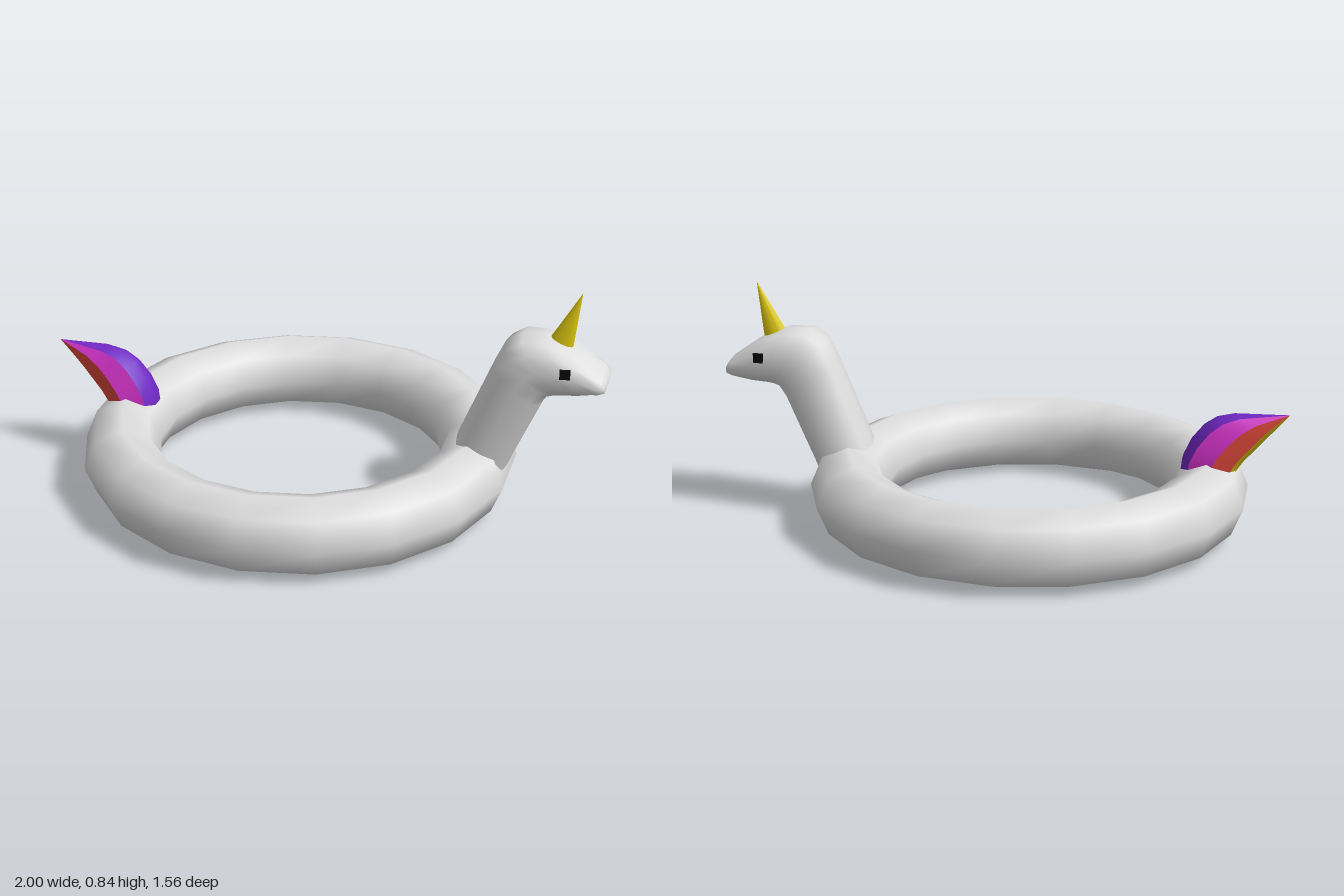
import * as THREE from 'three';

const mat = (name, color, side = THREE.FrontSide) => {
  const m = new THREE.MeshStandardMaterial({ color, side });
  m.name = name;
  return m;
};

// Loft a profile of (u, v) points through sections [ax, ay, bx, by, halfWidth];
// u runs from b (-1) to a (+1), v runs across in z.
function loft(sections, profile, closed) {
  const n = profile.length, pos = [], index = [];
  for (const [ax, ay, bx, by, w] of sections) {
    for (const [u, v] of profile) {
      pos.push((ax + bx + u * (ax - bx)) / 2, (ay + by + u * (ay - by)) / 2, v * w);
    }
  }
  for (let i = 0; i < sections.length - 1; i++) {
    for (let j = 0; j < (closed ? n : n - 1); j++) {
      const k = (j + 1) % n, a = i * n + j, b = i * n + k;
      index.push(a, b, b + n, a, b + n, a + n);
    }
  }
  const g = new THREE.BufferGeometry();
  g.setAttribute('position', new THREE.Float32BufferAttribute(pos, 3));
  g.setIndex(index);
  g.computeVertexNormals();
  return g;
}

export function createModel() {
  const group = new THREE.Group();
  const white = mat('white vinyl', 0xdedede);
  const yellow = mat('yellow', 0xe2cc10);
  const red = mat('coral red', 0xe0483c);
  const magenta = mat('magenta', 0xd232c8);
  const purple = mat('purple', 0x7028c4);
  const black = mat('black', 0x080808);

  const add = (name, geo, material, parent = group) => {
    const m = new THREE.Mesh(geo, material);
    m.name = name;
    parent.add(m);
    return m;
  };

  // Inflatable ring
  const ring = new THREE.TorusGeometry(0.643, 0.137, 8, 18);
  ring.rotateZ(Math.PI / 18).rotateX(Math.PI / 2).translate(-0.09, 0.137, 0);
  add('ring', ring, white);

  // Neck and head: rounded-box sections from the ring up and forward to the snout
  const round = [];
  for (let i = 0; i < 12; i++) {
    const t = (i / 12) * Math.PI * 2;
    const p = (x) => Math.sign(x) * Math.pow(Math.abs(x), 0.72);
    round.push([p(Math.cos(t)), p(Math.sin(t))]);
  }
  add('neckAndHead', loft([
    [0.46, 0.14, 0.655, 0.13, 0.122],
    [0.49, 0.27, 0.685, 0.205, 0.125],
    [0.61, 0.565, 0.785, 0.435, 0.125],
    [0.645, 0.64, 0.81, 0.472, 0.125],
    [0.70, 0.676, 0.83, 0.477, 0.122],
    [0.79, 0.676, 0.85, 0.480, 0.119],
    [0.88, 0.64, 0.905, 0.485, 0.111],
    [0.985, 0.568, 0.97, 0.497, 0.092],
    [1.0, 0.545, 0.995, 0.508, 0.08],
    [1.0, 0.527, 1.0, 0.527, 0],
  ], round, true), white);

  // Horn, flattened sideways and leaning forward
  const horn = new THREE.ConeGeometry(0.043, 0.2, 12);
  horn.scale(1, 1, 0.53).rotateZ(-0.32).translate(0.864, 0.745, 0);
  add('horn', horn, yellow);

  // Eyes
  for (const s of [1, -1]) {
    const eye = add(s > 0 ? 'eyeFront' : 'eyeBack', new THREE.BoxGeometry(0.036, 0.034, 0.008), black);
    eye.position.set(0.865, 0.587, s * 0.113);
    eye.rotation.y = s * 0.15;
  }

  // Tail: striped lengthwise, curving back to a point
  const tail = new THREE.Group();
  tail.name = 'tail';
  group.add(tail);
  const tailSections = [
    [-0.79, 0.17, -0.625, 0.19, 0.088],
    [-0.825, 0.235, -0.635, 0.275, 0.09],
    [-0.85, 0.272, -0.662, 0.335, 0.086],
    [-0.885, 0.31, -0.705, 0.39, 0.073],
    [-0.915, 0.345, -0.75, 0.422, 0.06],
    [-0.95, 0.385, -0.81, 0.437, 0.044],
    [-1.0, 0.443, -1.0, 0.443, 0],
  ];
  const strip = (name, profile, material) => add(name, loft(tailSections, profile, false), material, tail);
  strip('tailYellowStripe', [[0.75, -0.6], [1, 0], [0.75, 0.6]], yellow);
  strip('tailPurpleStripe', [[-0.72, 0.75], [-1, 0.28], [-1, -0.28], [-0.72, -0.75]], purple);
  strip('tailRedStripeFront', [[0.75, 0.6], [0.05, 1]], red);
  strip('tailRedStripeBack', [[0.05, -1], [0.75, -0.6]], red);
  strip('tailMagentaStripeFront', [[0.05, 1], [-0.72, 0.75]], magenta);
  strip('tailMagentaStripeBack', [[-0.72, -0.75], [0.05, -1]], magenta);

  return group;
}
